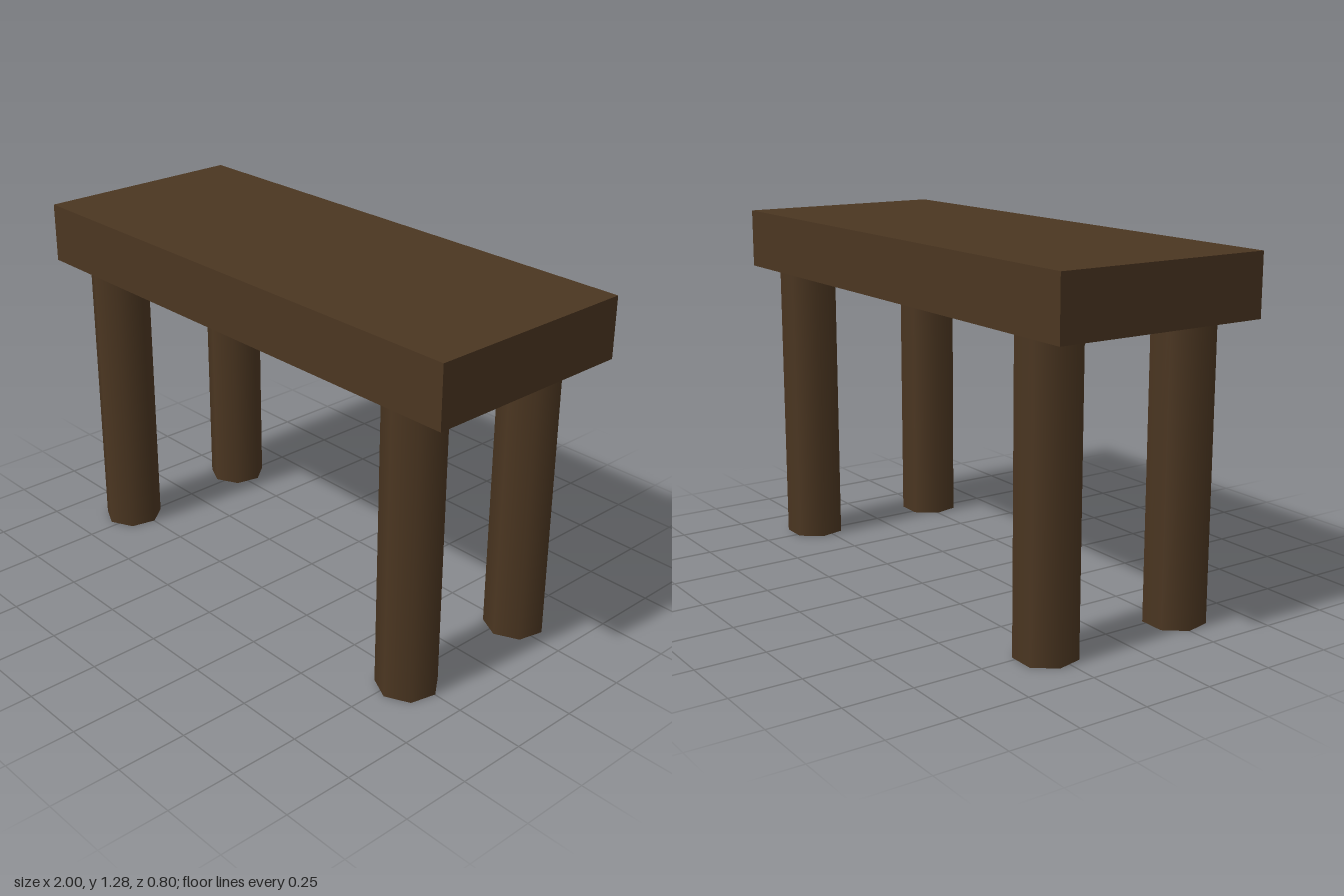
import * as THREE from 'three';

export function createModel() {
  const model = new THREE.Group();
  model.name = 'table';
  const darkWood = new THREE.MeshStandardMaterial({ color: 0x4b3621 });
  darkWood.name = 'darkWood';

  const legHeight = 1.06;
  const topThickness = 0.218;

  // Thick slab top
  const top = new THREE.Mesh(new THREE.BoxGeometry(2, topThickness, 0.8), darkWood);
  top.name = 'tableTop';
  top.position.y = legHeight + topThickness / 2;
  model.add(top);

  // Four seven-sided, smooth-shaded legs
  const legGeometry = new THREE.CylinderGeometry(0.11, 0.11, legHeight, 7);
  for (const [zName, z] of [['front', 0.273], ['back', -0.271]]) {
    for (const [xName, x] of [['Left', 0.78], ['Right', -0.78]]) {
      const leg = new THREE.Mesh(legGeometry, darkWood);
      leg.name = `${zName}${xName}Leg`;
      leg.position.set(x, legHeight / 2, z);
      model.add(leg);
    }
  }
  return model;
}
